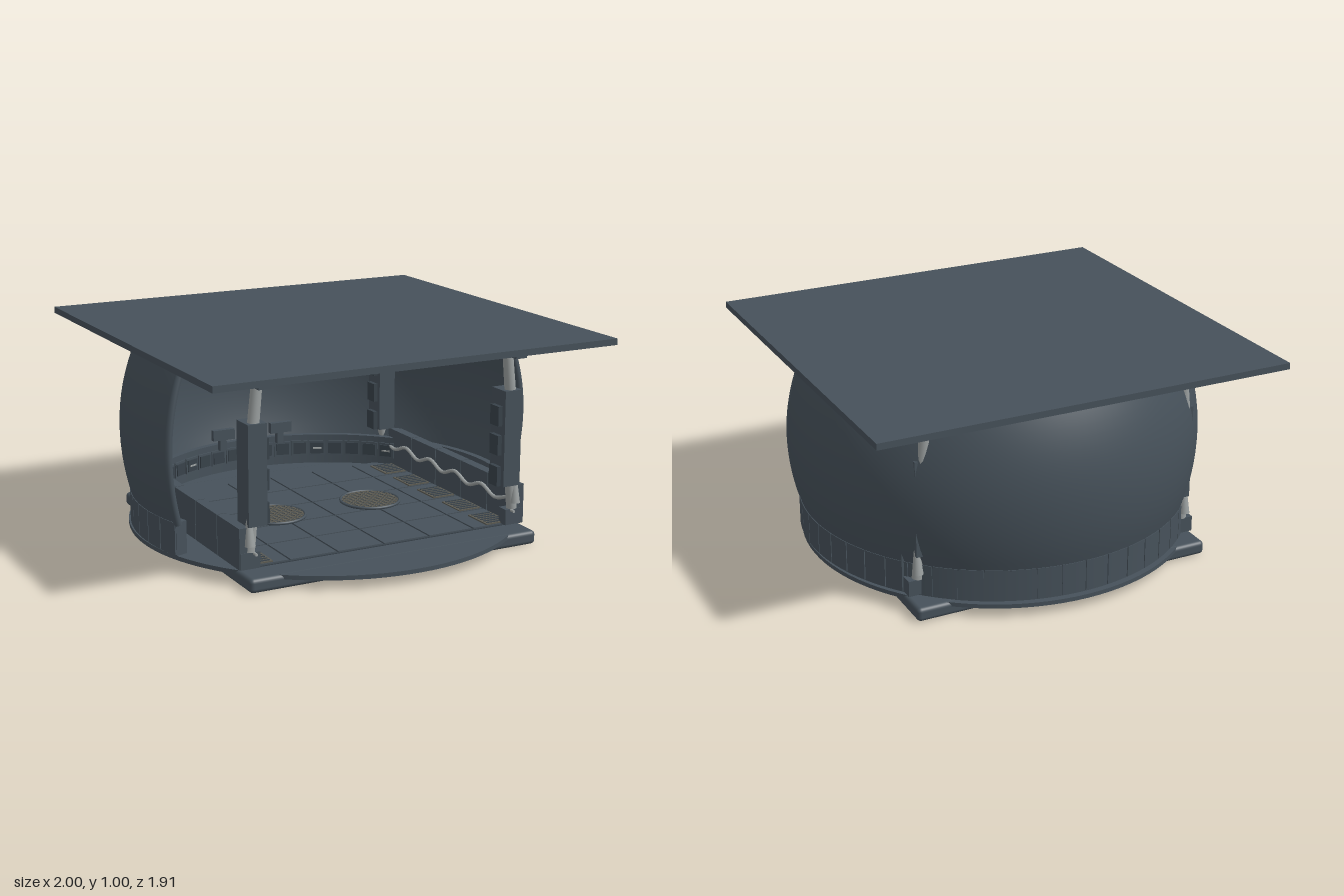
import * as THREE from 'three';
import { RoundedBoxGeometry } from 'three/addons/geometries/RoundedBoxGeometry.js';

const mat = (name, color) => {
  const m = new THREE.MeshStandardMaterial({ color, side: THREE.DoubleSide });
  m.name = name;
  return m;
};

export function createModel() {
  const slate = mat('slate', 0x46515a);
  const steel = mat('light steel', 0x9a9f9f);
  const dark = mat('dark slate', 0x38424a);
  const bronze = mat('bronze grey', 0x5b5a52);
  const model = new THREE.Group();

  const add = (name, geo, material, x = 0, y = 0, z = 0, parent = model) => {
    const m = new THREE.Mesh(geo, material);
    m.name = name;
    m.position.set(x, y, z);
    parent.add(m);
    return m;
  };
  // Box given by its minimum and maximum corners
  const box = (name, material, x0, x1, y0, y1, z0, z1, parent = model) =>
    add(name, new THREE.BoxGeometry(x1 - x0, y1 - y0, z1 - z0), material,
      (x0 + x1) / 2, (y0 + y1) / 2, (z0 + z1) / 2, parent);
  // Round rod between two points
  const rod = (name, material, a, b, r0, r1, parent = model) => {
    const A = new THREE.Vector3(...a), B = new THREE.Vector3(...b);
    const d = B.clone().sub(A);
    const m = add(name, new THREE.CylinderGeometry(r1, r0, d.length(), 16), material, 0, 0, 0, parent);
    m.position.copy(A).add(B).multiplyScalar(0.5);
    m.quaternion.setFromUnitVectors(new THREE.Vector3(0, 1, 0), d.normalize());
    return m;
  };
  // Curved wall with real thickness, swept around the back
  const arcWall = (name, profile, thick, start, length, segments) => {
    const g = new THREE.Group();
    g.name = name;
    g.position.z = 0.025;
    const outer = profile.map(([r, y]) => new THREE.Vector2(r, y));
    const inner = profile.map(([r, y]) => new THREE.Vector2(r - thick, y));
    const last = outer.length - 1;
    for (const pts of [outer, inner, [inner[0], outer[0]], [outer[last], inner[last]]])
      add(name, new THREE.LatheGeometry(pts, segments, start, length), slate, 0, 0, 0, g);
    const section = new THREE.Shape([...outer, ...inner.slice().reverse()]);
    for (const phi of [start, start + length])
      add(name + 'End', new THREE.ShapeGeometry(section).rotateY(phi - Math.PI / 2), slate, 0, 0, 0, g);
    model.add(g);
  };

  // Flat square roof, square base and round floor
  box('roof', slate, -1, 1, 0.97, 1, -0.955, 0.955);
  add('base', new RoundedBoxGeometry(1.48, 0.066, 1.48, 3, 0.02), slate, 0, 0.033, 0);
  add('floorDisc', new THREE.CylinderGeometry(0.94, 0.94, 0.02, 96), slate, 0, 0.055, 0);

  // Bulging shell, open at the front
  const start = 1.281, sweep = 2 * (Math.PI - start);
  const bulge = [];
  for (let i = 0; i <= 16; i++) {
    const y = 0.21 + 0.755 * i / 16;
    const t = y - 0.53;
    bulge.push([0.98 - (t > 0 ? 0.53 : 0.45) * t * t, y]);
  }
  arcWall('shell', bulge, 0.03, start, sweep, 80);
  // Raised lip along the open edges and the top
  for (const phi of [start, -start]) {
    const path = new THREE.CatmullRomCurve3(bulge.map(([r, y]) =>
      new THREE.Vector3((r - 0.012) * Math.sin(phi), y, (r - 0.012) * Math.cos(phi) + 0.025)));
    add('shellLip', new THREE.TubeGeometry(path, 32, 0.018, 8), slate);
  }
  arcWall('topRim', [[0.895, 0.945], [0.89, 0.97]], 0.04, start, sweep, 80);

  // Lower band with separate outer panels
  arcWall('band', [[0.934, 0.05], [0.934, 0.22]], 0.06, start, sweep, 80);
  const panels = 30, step = sweep / panels;
  for (let i = 0; i < panels; i++)
    arcWall('bandPanel', [[0.94, 0.07], [0.94, 0.221]], 0.01, start + i * step + 0.003, step - 0.006, 3);

  // Row of small inset panels inside the band
  for (let i = -14; i <= 14; i++) {
    const phi = Math.PI + i * 0.108;
    const holder = new THREE.Group();
    holder.name = 'innerPanel';
    holder.position.set(0.87 * Math.sin(phi), 0.15, 0.87 * Math.cos(phi) + 0.025);
    holder.rotation.y = phi;
    box('innerPanelFrame', slate, -0.042, 0.042, -0.04, 0.04, -0.006, 0.002, holder);
    box('innerPanelFace', dark, -0.034, 0.034, -0.03, 0.03, -0.012, -0.006, holder);
    if (i % 4 === 0) box('panelLight', steel, -0.022, 0.022, -0.004, 0.004, -0.017, -0.012, holder);
    model.add(holder);
  }

  // Floor tiles
  for (let i = 0; i < 6; i++)
    for (let j = 0; j < 5; j++)
      box('floorTile', slate, -0.715 + i * 0.24, -0.485 + i * 0.24, 0.062, 0.076,
        -0.595 + j * 0.24, -0.365 + j * 0.24);
  box('floorSeams', dark, -0.72, 0.72, 0.06, 0.07, -0.6, 0.6);

  // Two small screens on stems at the back
  for (const x of [-0.165, 0.165]) {
    box('screen', slate, x - 0.06, x + 0.06, 0.25, 0.305, -0.82, -0.79);
    box('screenStem', slate, x - 0.018, x + 0.018, 0.19, 0.25, -0.83, -0.8);
  }

  for (const s of [-1, 1]) {
    const side = new THREE.Group();
    side.name = s > 0 ? 'leftSide' : 'rightSide';
    model.add(side);
    const sbox = (name, m, x0, x1, ...rest) =>
      box(name, m, Math.min(s * x0, s * x1), Math.max(s * x0, s * x1), ...rest, side);

    for (let i = 0; i < 5; i++) {
      const z = 0.51 - i * 0.24;
      // Low side wall panel
      sbox('sideWall', slate, 0.69, 0.74, 0.075, 0.265, z - 0.117, z + 0.117);
      // Perforated floor vent
      sbox('ventPlate', bronze, 0.56, 0.68, 0.076, 0.082, z - 0.08, z + 0.08);
      for (let k = 0; k < 6; k++)
        sbox('ventSlot', dark, 0.57, 0.67, 0.082, 0.085, z - 0.07 + k * 0.026, z - 0.06 + k * 0.026);
    }

    // Drooping cable along the wall
    const cable = [];
    for (let i = 0; i <= 10; i++)
      cable.push(new THREE.Vector3(s * 0.675, i % 2 ? 0.17 : 0.205, 0.6 - i * 0.12));
    add('cable', new THREE.TubeGeometry(new THREE.CatmullRomCurve3(cable), 60, 0.009, 8), steel, 0, 0, 0, side);

    // Round floor grate
    add('grate', new THREE.CylinderGeometry(0.145, 0.145, 0.008, 40), dark, s * 0.26, 0.08, 0, side);
    add('grateRim', new THREE.TorusGeometry(0.145, 0.007, 8, 40).rotateX(Math.PI / 2), slate, s * 0.26, 0.084, 0, side);
    for (let k = -5; k <= 5; k++) {
      const h = Math.sqrt(0.14 ** 2 - (k * 0.025) ** 2), c = s * 0.26, o = k * 0.025;
      box('grateBar', bronze, c + o - 0.004, c + o + 0.004, 0.083, 0.087, -h, h, side);
      box('grateBar', bronze, c - h, c + h, 0.083, 0.087, o - 0.004, o + 0.004, side);
    }

    // Front and rear pillars
    for (const f of [-1, 1]) {
      const z = f * 0.588;
      sbox('pillar', slate, 0.612, 0.702, 0.27, 0.73, z - 0.058, z + 0.058);
      for (const y of [0.27, 0.42, 0.56])
        sbox('pillarPad', dark, 0.59, 0.612, y, y + 0.095, z - 0.035, z + 0.035);
      const zr = f > 0 ? 0.61 : -0.635;
      rod('pillarTop', steel, [s * 0.66, 0.72, zr], [s * 0.64, 0.91, zr], 0.027, 0.025, side);
      rod('pillarFoot', steel, [s * 0.685, 0.15, f * 0.61], [s * 0.672, 0.28, f * 0.61], 0.025, 0.025, side);
      rod('pillarSpike', steel, [s * 0.69, 0.18, f * 0.63], [s * 0.69, 0.36, f * 0.615], 0.025, 0.006, side);
      sbox('pillarShoe', slate, 0.64, 0.735, 0.075, 0.15, f * 0.6 - 0.03, f * 0.6 + 0.03);
    }
    rod('lever', steel, [s * 0.67, 0.145, 0.6], [s * 0.67, 0.145, 0.655], 0.007, 0.007, side);

    // Top frame arm along the side
    sbox('topArm', slate, 0.625, 0.675, 0.9, 0.945, -0.62, 0.58);
    sbox('topArmCap', slate, 0.6, 0.68, 0.945, 0.962, -0.54, 0.54);
    sbox('frontCorner', slate, 0.62, 0.68, 0.895, 0.948, 0.54, 0.71);
    sbox('rearCorner', slate, 0.62, 0.68, 0.895, 0.948, -0.63, -0.54);
  }

  // Light cross bars with dark joints
  for (const z of [-0.58, 0.64]) {
    box('crossBar', steel, -0.63, 0.63, 0.9, 0.943, z - 0.025, z + 0.025);
    for (const x of [-0.44, 0, 0.44])
      box('barJoint', slate, x - 0.016, x + 0.016, 0.895, 0.948, z - 0.03, z + 0.03);
    for (const x of [-0.4, -0.13, 0.17, 0.42])
      box('barClip', slate, x - 0.11, x + 0.11, 0.943, 0.955, z - 0.02, z + 0.02);
  }
  return model;
}
